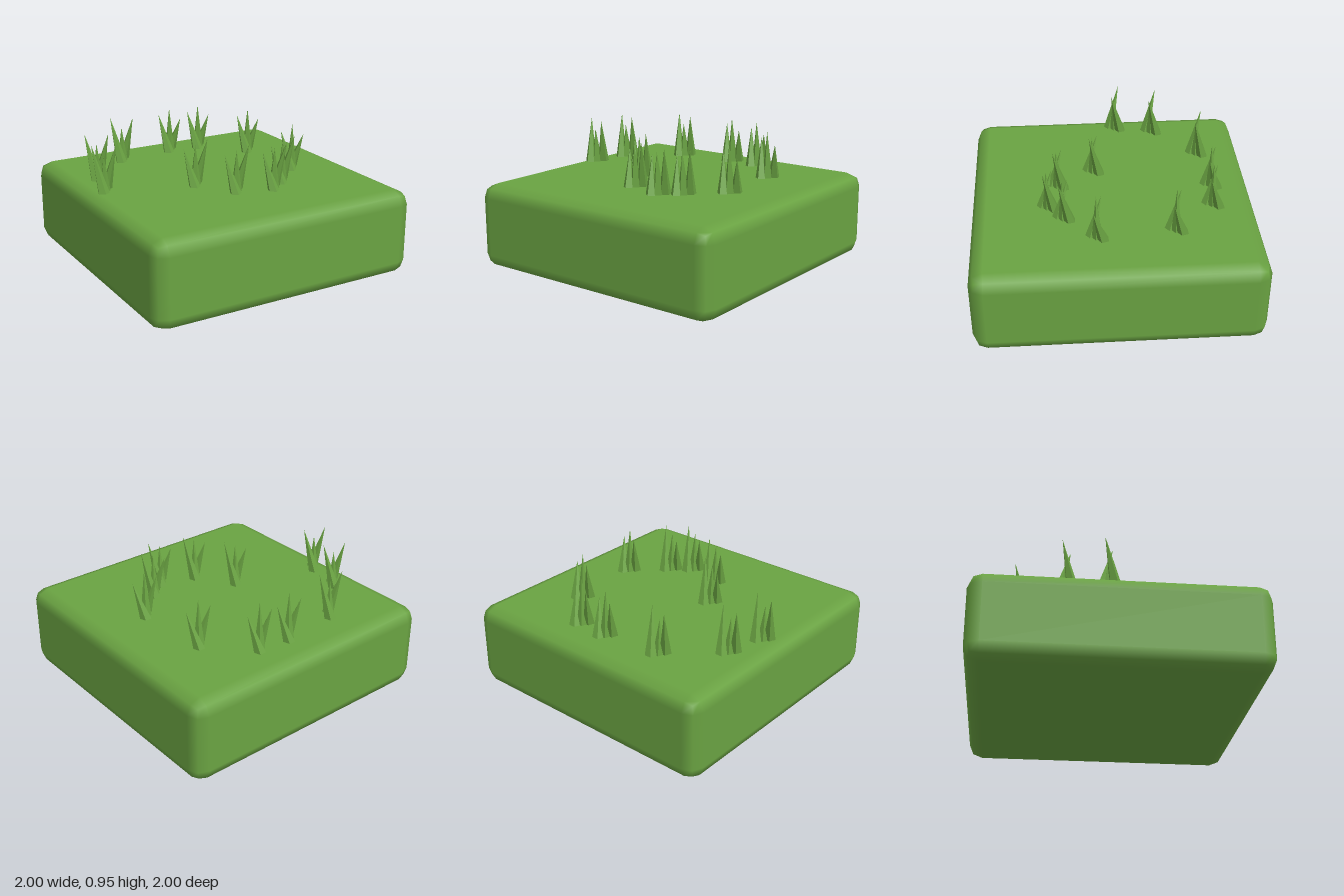
import * as THREE from 'three';
import { RoundedBoxGeometry } from 'three/addons/geometries/RoundedBoxGeometry.js';

const TOP = 0.615;

// Five-sided spike whose apex is sheared away from its base
function bladeGeometry(bx, bz, tx, tz, tipY, radius) {
  const base = TOP - 0.02, h = tipY - base;
  const geo = new THREE.ConeGeometry(radius, h, 5, 1, true).toNonIndexed();
  const p = geo.attributes.position;
  for (let i = 0; i < p.count; i++) {
    const t = (p.getY(i) + h / 2) / h;
    p.setXYZ(i, p.getX(i) + bx + (tx - bx) * t, base + h * t, p.getZ(i) + bz + (tz - bz) * t);
  }
  geo.computeVertexNormals();
  return geo;
}

export function createModel() {
  const model = new THREE.Group();
  model.name = 'grassBlock';
  const green = new THREE.MeshStandardMaterial({ color: 0x6aa342 });
  green.name = 'grass green';

  // Ground slab with a two-step bevel
  const slab = new THREE.Mesh(new RoundedBoxGeometry(2, TOP, 2, 1, 0.1), green);
  slab.name = 'groundSlab';
  slab.position.y = TOP / 2;
  model.add(slab);

  // Tip heights of the left-leaning, middle and right-leaning blades
  const heights = [[0.945, 0.87, 0.94], [0.88, 0.91, 0.945], [0.9, 0.95, 0.87]];
  const tuftBlades = heights.map(([l, m, r]) => [
    bladeGeometry(-0.025, 0.045, -0.077, -0.03, l, 0.045),
    bladeGeometry(0, 0, -0.005, 0.01, m, 0.042),
    bladeGeometry(0.025, -0.045, 0.078, 0.035, r, 0.045),
  ]);

  // Tufts: x, z, height set
  const tufts = [
    [-0.43, -0.67, 0], [0, -0.72, 2], [0.24, -0.7, 2], [0.52, -0.41, 2],
    [-0.77, -0.36, 0], [-0.84, -0.08, 0], [-0.235, 0.12, 1], [0.565, 0.135, 2],
    [-0.06, 0.385, 1], [0.335, 0.355, 1], [0.2, 0.46, 1],
  ];
  for (const [x, z, set] of tufts) {
    const tuft = new THREE.Group();
    tuft.name = 'grassTuft';
    tuft.position.set(x, 0, z);
    for (const geo of tuftBlades[set]) {
      const blade = new THREE.Mesh(geo, green);
      blade.name = 'grassBlade';
      tuft.add(blade);
    }
    model.add(tuft);
  }
  return model;
}
